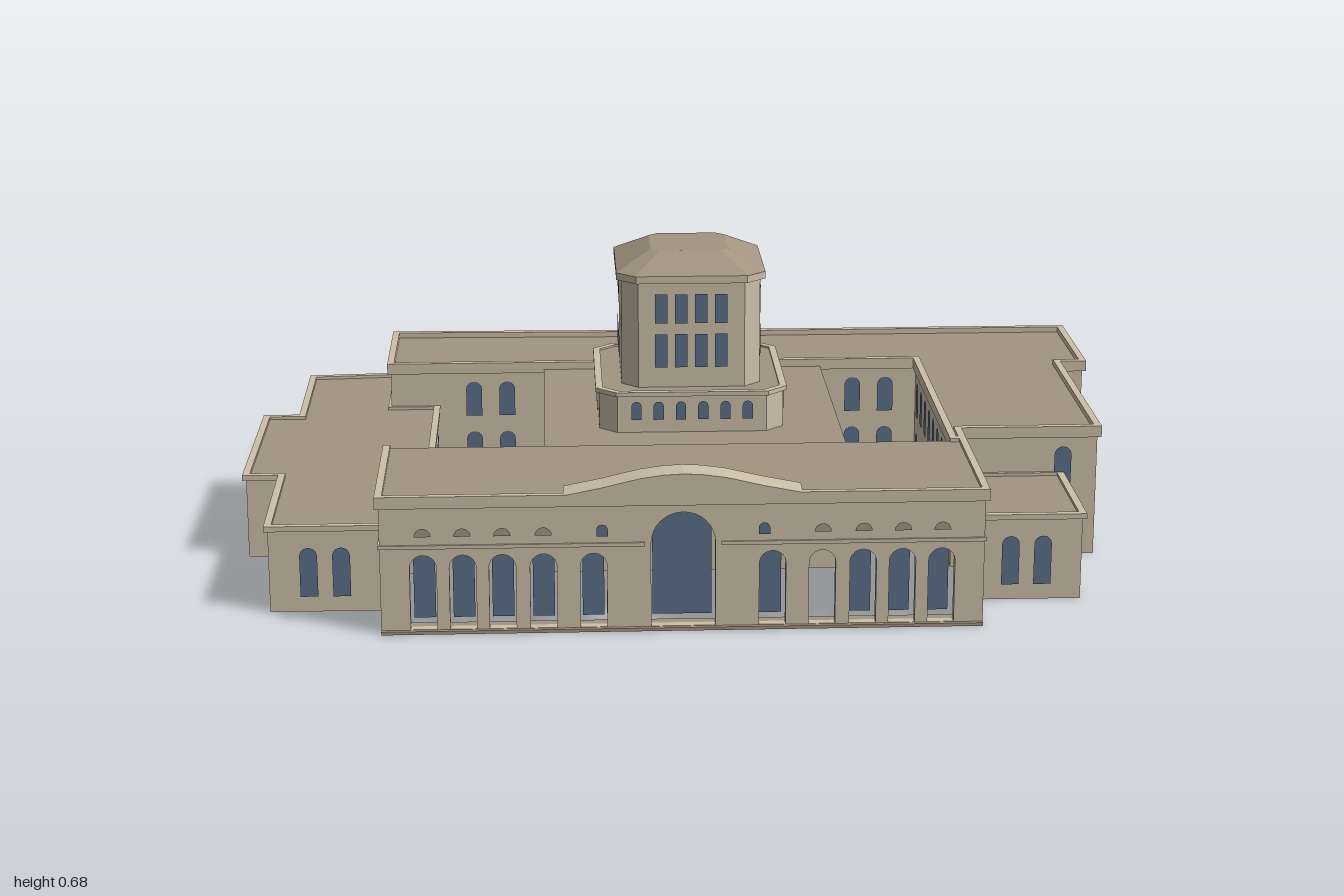
import * as THREE from 'three';

const material = (name, color) => new THREE.MeshStandardMaterial({ name, color, side: THREE.DoubleSide });

export function createModel() {
  const stone = material('sandstone', 0xcdbfa9);
  const roofing = material('roofing', 0xa39481);
  const glass = material('glass', 0x5b6f89);
  const model = new THREE.Group();

  const add = (name, geometry, mat, parent = model) => {
    const mesh = new THREE.Mesh(geometry, mat);
    mesh.name = name;
    parent.add(mesh);
    return mesh;
  };

  // Plan outlines are lists of [x, z]
  const planShape = pts => new THREE.Shape(pts.map(([x, z]) => new THREE.Vector2(x, -z)));
  const layFlat = (geometry, y) => geometry.rotateX(-Math.PI / 2).translate(0, y, 0);

  // Mitred parallel copy of a plan path
  function offset(pts, d, closed) {
    const n = pts.length;
    const normal = i => {
      const a = pts[i], b = pts[(i + 1) % n];
      const dx = b[0] - a[0], dz = b[1] - a[1], l = Math.hypot(dx, dz);
      return [dz / l, -dx / l];
    };
    return pts.map((p, i) => {
      const first = !closed && i === 0, last = !closed && i === n - 1;
      const m = normal(last ? i - 1 : i);
      const k = first ? m : normal((i - 1 + n) % n);
      const s = d / (1 + m[0] * k[0] + m[1] * k[1]);
      return [p[0] + (m[0] + k[0]) * s, p[1] + (m[1] + k[1]) * s];
    });
  }

  // Moulding that follows a plan path
  function moulding(name, pts, y0, y1, reach, closed = true, parent = model) {
    const a = offset(pts, reach, closed), b = offset(pts, -reach, closed);
    let shape;
    if (closed) {
      const area = q => Math.abs(THREE.ShapeUtils.area(q.map(p => new THREE.Vector2(...p))));
      const [outer, inner] = area(a) > area(b) ? [a, b] : [b, a];
      shape = planShape(outer);
      shape.holes.push(planShape(inner));
    } else shape = planShape([...a, ...b.reverse()]);
    add(name, layFlat(new THREE.ExtrudeGeometry(shape, { depth: y1 - y0, bevelEnabled: false }), y0), stone, parent);
  }

  // Faceted skin between two matching plan loops
  function skin(lower, y0, upper, y1, skip = []) {
    const v = [];
    lower.forEach((p, i) => {
      if (skip.includes(i)) return;
      const j = (i + 1) % lower.length;
      const a = [p[0], y0, p[1]], b = [lower[j][0], y0, lower[j][1]];
      const c = [upper[j][0], y1, upper[j][1]], d = [upper[i][0], y1, upper[i][1]];
      v.push(...a, ...c, ...b, ...a, ...d, ...c);
    });
    const g = new THREE.BufferGeometry();
    g.setAttribute('position', new THREE.Float32BufferAttribute(v, 3));
    g.computeVertexNormals();
    return g;
  }

  // Hollow block: walls and a flat roof; skip leaves out wall edges
  function block(name, pts, y0, top, skip) {
    const group = new THREE.Group();
    group.name = name;
    model.add(group);
    add('walls', skin(pts, y0, pts, top, skip), stone, group);
    add('roof', layFlat(new THREE.ShapeGeometry(planShape(pts)), top), roofing, group);
    return group;
  }

  // Round-headed or square opening
  function opening(x, y0, y1, w, arched = true) {
    const s = new THREE.Shape(), r = w / 2;
    s.moveTo(x - r, y0);
    s.lineTo(x + r, y0);
    if (arched) {
      s.lineTo(x + r, y1 - r);
      s.absarc(x, y1 - r, r, 0, Math.PI, false);
    } else {
      s.lineTo(x + r, y1);
      s.lineTo(x - r, y1);
    }
    s.closePath();
    return s;
  }

  // Rows of window plates; facing 0 = +z, 1 = +x, 2 = -z, 3 = -x
  function windows(name, facing, plane, along, floors, w = 0.038, arched = true) {
    const group = new THREE.Group();
    group.name = name;
    model.add(group);
    for (const [y0, y1] of floors) for (const t of along) {
      const p = (typeof plane === 'function' ? plane(t) : plane) + (facing < 2 ? 0.004 : -0.004);
      const mesh = add('window', new THREE.ShapeGeometry(opening(0, y0, y1, w, arched), 6), glass, group);
      mesh.rotation.y = facing * Math.PI / 2;
      mesh.position.set(facing % 2 ? p : t, 0, facing % 2 ? t : p);
    }
  }
  const steps = (from, step, count) => Array.from({ length: count }, (_, i) => from + i * step);
  const twoFloors = [[0.035, 0.13], [0.17, 0.255]], oneFloor = [[0.035, 0.145]];

  // Back range with the tall side wing
  const back = [[-0.69, -0.675], [0, -0.66], [0.985, -0.66], [0.985, -0.335], [0.922, -0.335], [0.922, 0.215],
    [0.605, 0.215], [0.605, 0.295], [0.585, 0.295], [0.585, -0.38], [-0.69, -0.38]];
  moulding('cornice', back, 0.277, 0.303, 0.008, true, block('backRange', back, 0, 0.29));

  // Low wings on both sides
  const lowWest = [[-0.9, -0.66], [-0.69, -0.675], [-0.69, -0.38], [-0.58, -0.38], [-0.58, 0.285], [-0.665, 0.285],
    [-0.665, 0.52], [-0.91, 0.52], [-0.91, 0.155], [-0.99, 0.155], [-0.985, -0.31], [-0.9, -0.31]];
  moulding('cornice', lowWest, 0.183, 0.195, 0.008, true, block('lowRightWing', lowWest, 0, 0.188));
  const lowEast = [[0.605, 0.215], [0.84, 0.215], [0.84, 0.51], [0.605, 0.51]];
  moulding('cornice', lowEast, 0.183, 0.195, 0.008, true, block('lowLeftWing', lowEast, 0, 0.188));

  // Central hall between the courtyards
  block('centralHall', [[-0.32, -0.38], [0.35, -0.38], [0.35, 0.29], [-0.32, 0.29]], 0, 0.285);

  // Front range: open to the rear, arcade on the front
  const front = [[-0.665, 0.295], [0.605, 0.295], [0.605, 0.663], [-0.665, 0.663]];
  const frontGroup = block('frontRange', front, 0, 0.295, [0, 2]);
  moulding('cornice', [front[1], front[2], front[3], front[0]], 0.277, 0.303, 0.008, false, frontGroup);
  moulding('stringCourse', [front[1], front[2], [0.05, 0.663]], 0.187, 0.195, 0.004, false, frontGroup);
  moulding('stringCourse', [[-0.11, 0.663], front[3], front[0]], 0.187, 0.195, 0.004, false, frontGroup);

  const middle = -0.03;
  const bays = [0.188, 0.293, 0.379, 0.462, 0.545].flatMap(d => [middle - d, middle + d]);
  const wall = new THREE.Shape([[-0.665, 0], [0.605, 0], [0.605, 0.295], [-0.665, 0.295]].map(p => new THREE.Vector2(...p)));
  bays.forEach(x => wall.holes.push(opening(x, 0.008, 0.172, 0.056)));
  wall.holes.push(opening(middle, 0.008, 0.26, 0.135));
  add('arcadeWall', new THREE.ExtrudeGeometry(wall, { depth: 0.02, bevelEnabled: false, curveSegments: 8 })
    .translate(0, 0, 0.643), stone, frontGroup);
  add('porchStep', new THREE.BoxGeometry(1.27, 0.007, 0.055).translate(middle, 0.0035, 0.645), roofing, frontGroup);

  // Glazing set back behind the arches (one bay stays open)
  bays.forEach((x, i) => {
    if (i !== 3) add('arcadeGlass', new THREE.ShapeGeometry(opening(x, 0.012, 0.165, 0.046), 8).translate(0, 0, 0.6), glass, frontGroup);
  });
  add('doorGlass', new THREE.ShapeGeometry(opening(middle, 0.012, 0.255, 0.126), 10).translate(0, 0, 0.6), glass, frontGroup);

  // Lunettes above the outer bays, small round-headed lights by the door
  bays.slice(2).forEach(x => add('lunette',
    new THREE.CircleGeometry(0.018, 8, 0, Math.PI).translate(x, 0.214, 0.667), roofing, frontGroup));
  windows('doorLights', 0, 0.663, [-0.2, 0.14], [[0.21, 0.236]], 0.024);

  // Shallow pediment over the door
  const rise = [[0.25, 0.302], [0.17, 0.318], [0.09, 0.337], [0.04, 0.344]];
  const gable = [[-0.25, 0.285], ...rise.map(([d, y]) => [-d, y]), [0, 0.346],
    ...rise.slice().reverse(), [0.25, 0.285]].map(([d, y]) => new THREE.Vector2(middle + d, y));
  add('pediment', new THREE.ExtrudeGeometry(new THREE.Shape(gable), { depth: 0.068, bevelEnabled: false })
    .translate(0, 0, 0.604), stone, frontGroup);

  // Tower with chamfered corners
  const chamfered = (x0, x1, z0, z1, c) => [[x0 + c, z0], [x1 - c, z0], [x1, z0 + c], [x1, z1 - c],
    [x1 - c, z1], [x0 + c, z1], [x0, z1 - c], [x0, z0 + c]];
  const base = chamfered(-0.195, 0.22, -0.25, 0.165, 0.04);
  moulding('cornice', base, 0.37, 0.38, 0.008, true, block('towerBase', base, 0.28, 0.376));
  const shaft = chamfered(-0.143, 0.17, -0.197, 0.116, 0.037);
  moulding('cornice', shaft, 0.618, 0.635, 0.011, true, block('towerShaft', shaft, 0.375, 0.63));
  const eaves = chamfered(-0.154, 0.181, -0.208, 0.127, 0.04);
  const crown = chamfered(-0.075, 0.1, -0.128, 0.047, 0.02);
  add('towerRoof', skin(eaves, 0.635, crown, 0.676), roofing);
  add('towerRoofTop', layFlat(new THREE.ShapeGeometry(planShape(crown)), 0.676), roofing);
  [[0, 0.165, 0.116, 0.0125], [1, 0.22, 0.17, -0.0405], [2, -0.25, -0.197, 0.0125], [3, -0.195, -0.143, -0.0405]]
    .forEach(([facing, low, high, c]) => {
      windows('towerBaseWindows', facing, low, steps(c - 0.125, 0.05, 6), [[0.315, 0.357]], 0.023);
      windows('towerWindows', facing, high, steps(c - 0.0675, 0.045, 4), [[0.423, 0.5], [0.525, 0.592]], 0.028, false);
    });

  // Outer windows
  windows('backWindows', 2, x => -0.66 + Math.min(0, x) * 0.0217,
    [...steps(0.43, 0.079, 6), 0.24, 0.1, ...steps(-0.62, 0.0745, 8)], twoFloors);
  windows('lowBackWindows', 2, -0.667, [-0.835, -0.76], oneFloor);
  windows('leftWingWindows', 1, 0.922, [0.12, 0.04, -0.115, -0.195], twoFloors);
  windows('leftEndWindows', 1, 0.985, [-0.415, -0.49, -0.57], twoFloors);
  windows('leftWingFrontWindow', 0, 0.215, [0.845], twoFloors);
  windows('lowLeftSideWindows', 1, 0.84, [0.435, 0.36], oneFloor);
  windows('lowLeftFrontWindows', 0, 0.51, [0.685, 0.755], oneFloor);
  windows('lowRightFrontWindows', 0, 0.52, [-0.825, -0.755], oneFloor);
  windows('lowRightRearWindows', 3, -0.9, steps(-0.59, 0.075, 4), oneFloor);
  windows('lowRightBayWindows', 3, z => -0.9883 - z * 0.0108, [-0.22, -0.145, -0.01, 0.065], oneFloor);
  windows('lowRightSideWindows', 3, -0.91, [0.25, 0.33, 0.41], oneFloor);

  // Courtyard windows
  windows('courtRightWindows', 1, -0.58, steps(-0.31, 0.075, 8), oneFloor);
  windows('courtLeftWindows', 3, 0.585, steps(-0.31, 0.075, 8), twoFloors);
  windows('courtBackWindows', 0, -0.38, [-0.49, -0.41, 0.43, 0.51], twoFloors);

  return model;
}
